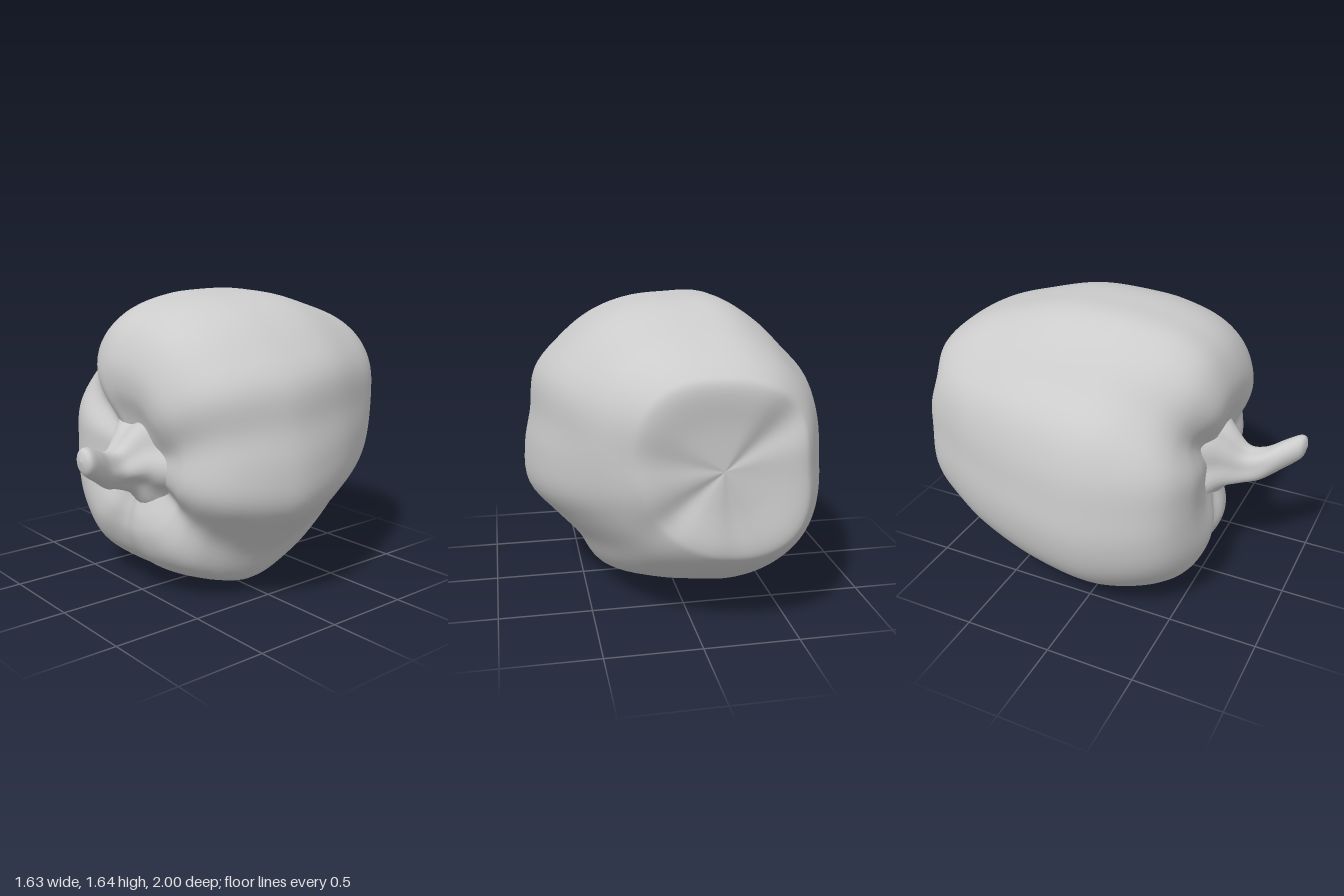
import * as THREE from 'three';

const material = new THREE.MeshStandardMaterial({ color: 0xcccccc });
const TAU = Math.PI * 2;

// Uniform Catmull-Rom through rows of numbers, u in 0..1
function sample(rows, u, loop = false) {
  const n = rows.length;
  const f = u * (loop ? n : n - 1);
  const i = loop ? Math.floor(f) : Math.min(Math.floor(f), n - 2);
  const t = f - i;
  const at = (k) => rows[loop ? (k + n) % n : Math.max(0, Math.min(n - 1, k))];
  const [a, b, c, d] = [at(i - 1), at(i), at(i + 1), at(i + 2)];
  return b.map((_, k) => 0.5 * (2 * b[k] + (c[k] - a[k]) * t
    + (2 * a[k] - 5 * b[k] + 4 * c[k] - d[k]) * t * t
    + (3 * b[k] - a[k] - 3 * c[k] + d[k]) * t * t * t));
}

// Closed rings joined along their length, smooth normals without a seam
function loft(name, rings, sides, point) {
  const positions = [], index = [];
  for (let i = 0; i <= rings; i++) {
    for (let j = 0; j < sides; j++) {
      positions.push(...point(i / rings, j / sides));
      if (i === rings) continue;
      const a = i * sides + j, b = i * sides + (j + 1) % sides;
      index.push(a, b, a + sides, b, b + sides, a + sides);
    }
  }
  const geometry = new THREE.BufferGeometry();
  geometry.setAttribute('position', new THREE.Float32BufferAttribute(positions, 3));
  geometry.setIndex(index);
  geometry.computeVertexNormals();
  const mesh = new THREE.Mesh(geometry, material);
  mesh.name = name;
  return mesh;
}

// Widest cross-section: radius every 15 degrees, counter-clockwise from +x
const outline = [
  0.805, 0.795, 0.85, 0.842, 0.845, 0.84, 0.835, 0.857, 0.825, 0.795, 0.82, 0.815,
  0.81, 0.84, 0.865, 0.86, 0.855, 0.83, 0.787, 0.80, 0.82, 0.745, 0.76, 0.82,
].map((r) => [r]);

// Cornered cross-section of the back end: radius every 45 degrees
const backOutline = [0.86, 1.04, 0.95, 0.98, 0.88, 1.06, 0.94, 0.85].map((r) => [r]);

// Body stations: z, scale, centre x, centre y, share of back outline,
// groove depth along z, groove depth inward
const stations = [
  [-0.97, 0, -0.10, 0.91, 1, 0, 0],
  [-0.98, 0.22, -0.10, 0.91, 1, -0.03, 0],
  [-1, 0.425, -0.10, 0.91, 1, -0.05, 0],
  [-0.95, 0.52, -0.09, 0.905, 0.9, -0.03, 0],
  [-0.8, 0.65, -0.06, 0.89, 0.7, 0, 0],
  [-0.6, 0.79, -0.04, 0.86, 0.4, 0, 0],
  [-0.3, 0.935, -0.015, 0.835, 0.15, 0, 0],
  [0, 1, 0, 0.80, 0, 0, 0],
  [0.2, 0.975, 0, 0.80, 0, 0, 0.02],
  [0.4, 0.90, 0, 0.805, 0, 0.03, 0.07],
  [0.54, 0.78, 0, 0.805, 0, 0.08, 0.09],
  [0.62, 0.60, 0.01, 0.80, 0, 0.12, 0.06],
  [0.625, 0.43, 0.03, 0.79, 0, 0.12, 0],
  [0.57, 0.25, 0.04, 0.78, 0, 0.06, 0],
  [0.52, 0, 0.05, 0.78, 0, 0, 0],
];

// Grooves and broad hollows between lobes: angle in degrees, strength, width
const grooves = [
  [12, 0.45, 18], [142, 0.8, 16], [185, 0.35, 40],
  [258, 0.4, 13], [317, 0.6, 15], [322, 0.7, 48],
];
function groove(degrees) {
  return grooves.reduce((sum, [angle, strength, width]) => {
    const d = ((degrees - angle + 540) % 360) - 180;
    return sum + strength * Math.exp(-((d / width) ** 2));
  }, 0);
}

// Stem stations: z, centre x, centre y, radius, rib depth
const stemStations = [
  [0.44, 0.05, 0.77, 0.30, 0.12],
  [0.54, 0.05, 0.775, 0.23, 0.12],
  [0.61, 0.05, 0.78, 0.165, 0.1],
  [0.70, 0.065, 0.755, 0.108, 0.07],
  [0.79, 0.10, 0.765, 0.095, 0.04],
  [0.88, 0.155, 0.815, 0.088, 0],
  [0.95, 0.20, 0.85, 0.078, 0],
  [0.985, 0.215, 0.862, 0.055, 0],
  [1.0, 0.22, 0.868, 0, 0],
];

export function createModel() {
  const model = new THREE.Group();
  model.name = 'bellPepper';

  // Lobed fruit lying on its side, slightly hollow at the back and dished around the stem
  model.add(loft('body', 84, 120, (u, v) => {
    const [z, scale, cx, cy, back, dip, pinch] = sample(stations, u);
    const g = groove(v * 360);
    const shape = THREE.MathUtils.lerp(
      sample(outline, v, true)[0], sample(backOutline, v, true)[0], back);
    const r = shape * Math.max(scale, 0) * (1 - pinch * g);
    return [
      cx + r * Math.cos(v * TAU),
      Math.max(0, cy + r * Math.sin(v * TAU)),
      Math.max(-1, z - dip * g),
    ];
  }));

  // Curved stem flaring into a ribbed calyx
  model.add(loft('stem', 40, 40, (u, v) => {
    const [z, cx, cy, radius, rib] = sample(stemStations, u);
    const r = Math.max(radius, 0) * (1 + rib * Math.cos(5 * (v * TAU + 1.4)));
    return [cx + r * Math.cos(v * TAU), cy + r * Math.sin(v * TAU), Math.min(1, z)];
  }));

  return model;
}
